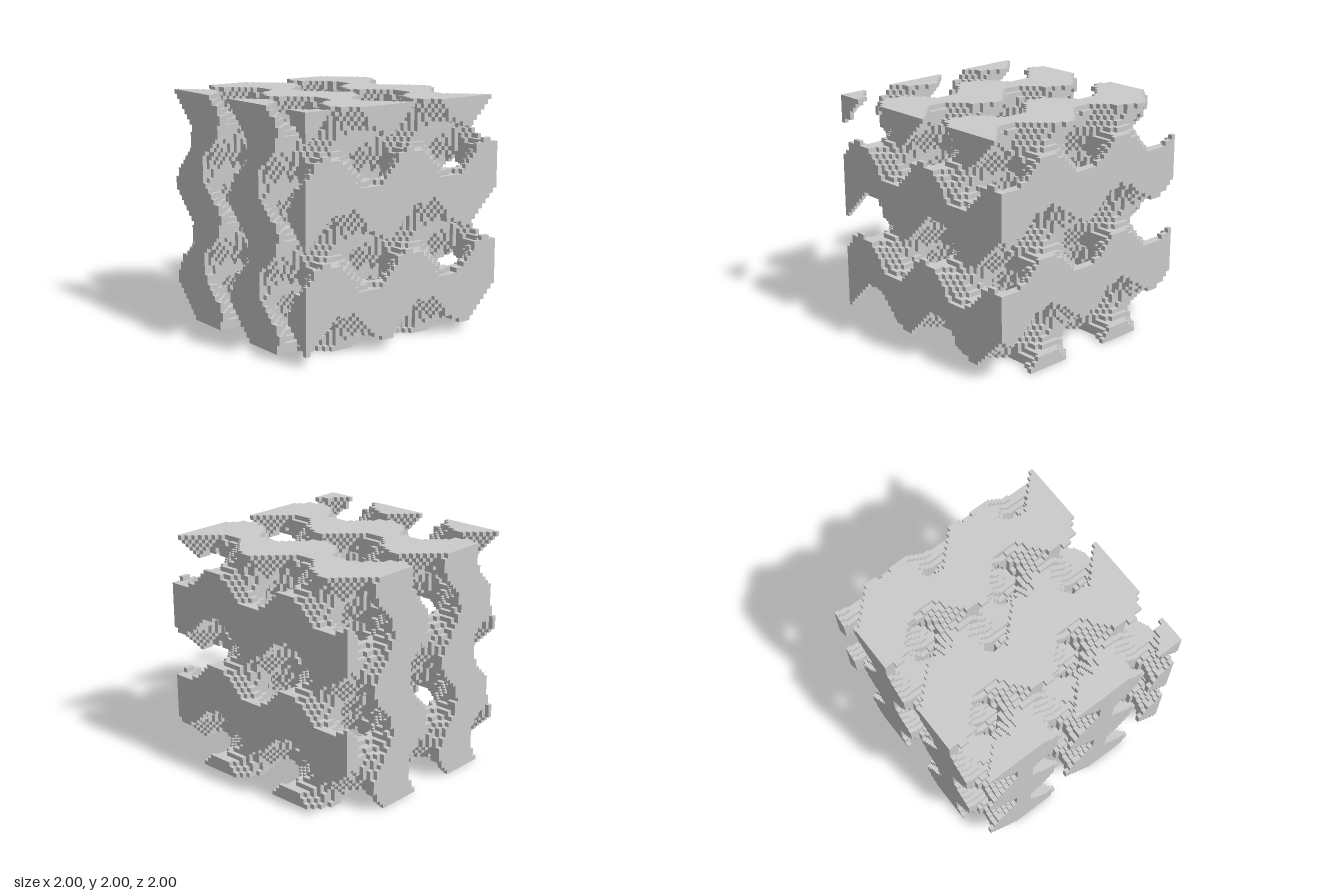
import * as THREE from 'three';

const N = 50;          // cells per side
const SIZE = 2 / N;    // cell edge length
const STEP = 0.3;      // phase advance per cell

// A cell is filled where the gyroid function is negative.
function filled(i, j, k) {
  if (Math.min(i, j, k) < 0 || Math.max(i, j, k) >= N) return false;
  const x = i * STEP, y = j * STEP, z = k * STEP;
  return Math.sin(x) * Math.cos(y) + Math.sin(y) * Math.cos(z) + Math.sin(z) * Math.cos(x) < 0;
}

// Build only the exposed cell faces along one axis (0 = x, 1 = y, 2 = z) and direction.
function exposedFaces(axis, dir) {
  const u = (axis + 1) % 3, v = (axis + 2) % 3;
  const corners = dir > 0 ? [[0, 0], [1, 0], [1, 1], [0, 1]] : [[0, 0], [0, 1], [1, 1], [1, 0]];
  const positions = [], normals = [], index = [];
  const normal = [0, 0, 0];
  normal[axis] = dir;

  for (let i = 0; i < N; i++) for (let j = 0; j < N; j++) for (let k = 0; k < N; k++) {
    if (!filled(i, j, k) || filled(i + normal[0], j + normal[1], k + normal[2])) continue;
    const base = positions.length / 3;
    for (const [du, dv] of corners) {
      const p = [i, j, k];
      p[u] += du;
      p[v] += dv;
      if (dir > 0) p[axis] += 1;
      positions.push(p[0] * SIZE - 1, p[1] * SIZE, p[2] * SIZE - 1);
      normals.push(...normal);
    }
    index.push(base, base + 1, base + 2, base, base + 2, base + 3);
  }

  const geometry = new THREE.BufferGeometry();
  geometry.setAttribute('position', new THREE.Float32BufferAttribute(positions, 3));
  geometry.setAttribute('normal', new THREE.Float32BufferAttribute(normals, 3));
  geometry.setIndex(index);
  return geometry;
}

export function createModel() {
  const group = new THREE.Group();
  group.name = 'voxelGyroid';
  const material = new THREE.MeshStandardMaterial({ color: 0xcccccc });

  // One mesh for each of the six facing directions of the stepped lattice
  const names = [['leftFaces', 'rightFaces'], ['topFaces', 'bottomFaces'], ['frontFaces', 'backFaces']];
  names.forEach((pair, axis) => pair.forEach((name, side) => {
    const mesh = new THREE.Mesh(exposedFaces(axis, side === 0 ? 1 : -1), material);
    mesh.name = name;
    group.add(mesh);
  }));
  return group;
}
